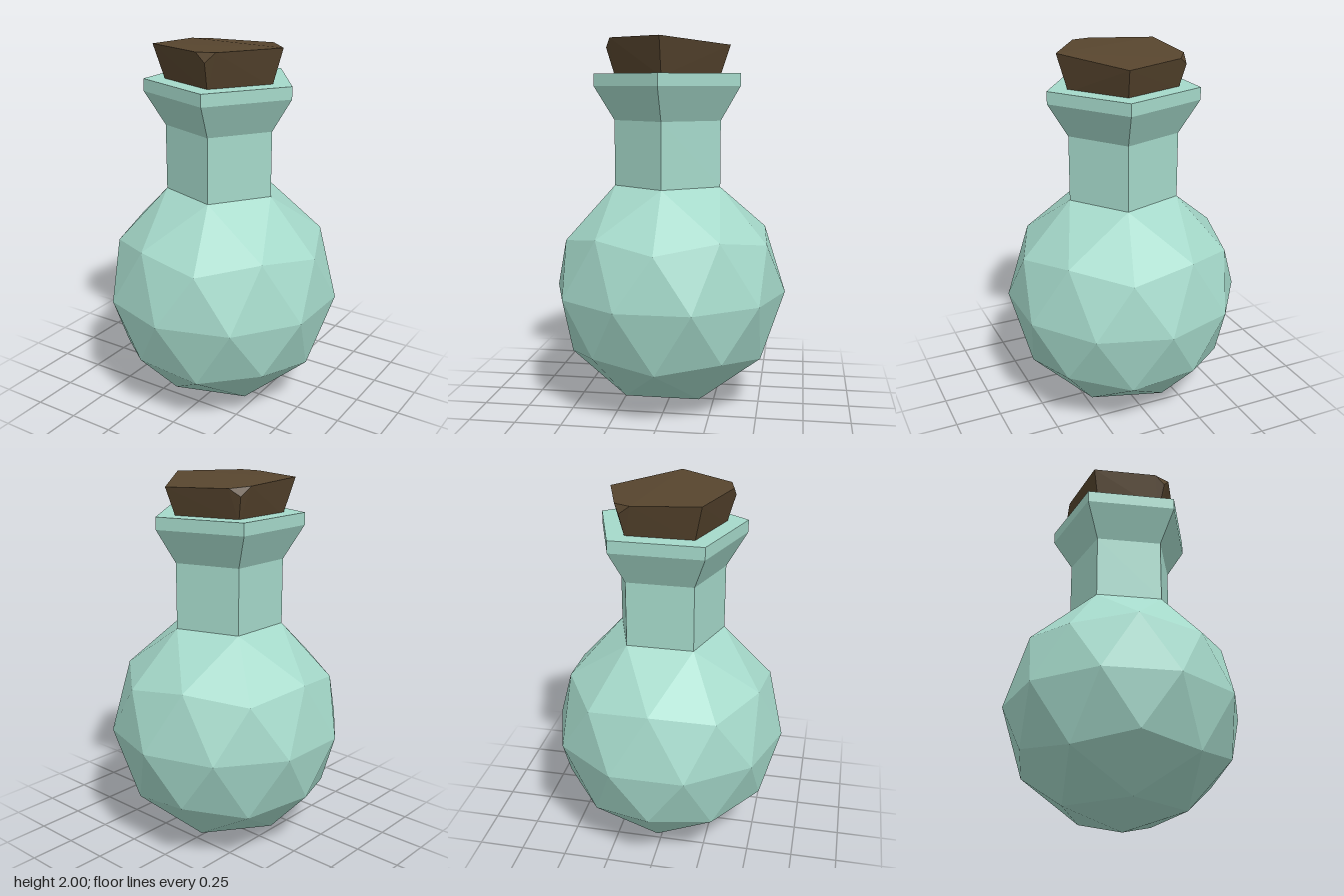
import * as THREE from 'three';
import { ConvexGeometry } from 'three/addons/geometries/ConvexGeometry.js';

const RADIUS = 0.637;
const CENTRE_Y = 0.64;
const NECK_RADIUS = 0.3;
const NECK_BASE = 1.22;

// Faceted round bulb whose top cap is opened into the five-sided neck
function bulbGeometry() {
  const ico = new THREE.IcosahedronGeometry(RADIUS, 1);
  ico.rotateZ(-Math.atan(2 / (1 + Math.sqrt(5)))); // one vertex straight up
  const src = ico.getAttribute('position');
  const out = [];
  for (let i = 0; i < src.count; i += 3) {
    const tri = [0, 1, 2].map((k) => new THREE.Vector3().fromBufferAttribute(src, i + k));
    if (tri.some((v) => v.y > 0.98 * RADIUS)) continue; // drop the cap
    for (const v of tri) {
      if (v.y > 0.8 * RADIUS) { // fit the open ring to the neck
        const s = NECK_RADIUS / Math.hypot(v.x, v.z);
        v.set(v.x * s, NECK_BASE - CENTRE_Y, v.z * s);
      }
      out.push(v.x, v.y + CENTRE_Y, v.z);
    }
  }
  const geo = new THREE.BufferGeometry();
  geo.setAttribute('position', new THREE.Float32BufferAttribute(out, 3));
  geo.computeVertexNormals();
  return geo;
}

// Five-sided neck, flare and flat rim
function neckGeometry() {
  const profile = [
    [NECK_RADIUS, NECK_BASE], [NECK_RADIUS, 1.57], [0.41, 1.75], [0.41, 1.815], [0, 1.815],
  ].map(([r, y]) => new THREE.Vector2(r, y));
  return new THREE.LatheGeometry(profile, 5, Math.PI / 2);
}

// Tapered stopper with a tilted top and two chipped corners
function stopperGeometry() {
  const points = [];
  for (let i = 0; i < 5; i++) {
    const a = (i * Math.PI * 2) / 5;
    points.push(new THREE.Vector3(0.295 * Math.cos(a), 1.8, 0.295 * Math.sin(a)));
  }
  const top = [
    [0.355, 2, 0], [0.11, 1.96, -0.335], [-0.285, 1.995, 0.215],
    [0.15, 2, 0.295], [0.05, 1.998, 0.32], [0.105, 1.95, 0.324], // front chip
    [-0.22, 1.968, -0.228], [-0.285, 1.977, -0.135], [-0.27, 1.93, -0.196], // back chip
  ];
  top.forEach((p) => points.push(new THREE.Vector3(...p)));
  return new ConvexGeometry(points);
}

export function createModel() {
  const group = new THREE.Group();
  group.name = 'stopperedFlask';
  const glass = new THREE.MeshStandardMaterial({ color: 0xa5d9ca, flatShading: true });
  const cork = new THREE.MeshStandardMaterial({ color: 0x57452e, flatShading: true });
  const add = (name, geometry, material) => {
    const mesh = new THREE.Mesh(geometry, material);
    mesh.name = name;
    group.add(mesh);
  };
  add('bulb', bulbGeometry(), glass);
  add('neckAndRim', neckGeometry(), glass);
  add('stopper', stopperGeometry(), cork);
  return group;
}
